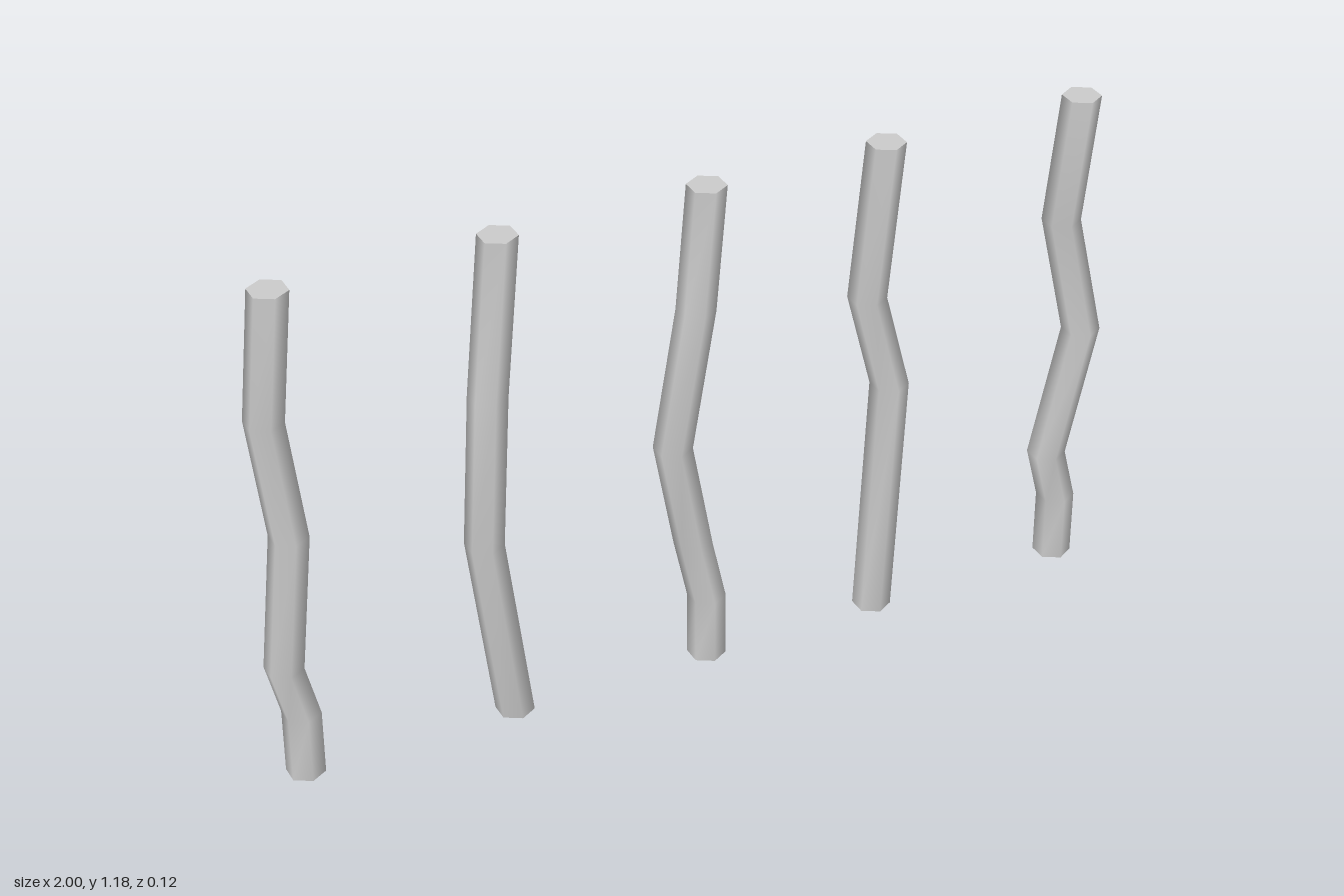
import * as THREE from 'three';
import { mergeVertices } from 'three/addons/utils/BufferGeometryUtils.js';

const RADIUS = 0.043;
const TOP = 1.18;
const Z = -0.012;

// Centre line of each crooked post from top to bottom: [x, y, z]
const POSTS = {
  outerRightPost: [[-0.933, TOP, Z], [-0.963, 0.885, Z], [-0.93, 0.6, Z], [-0.963, 0.28, Z], [-0.933, 0.155, Z], [-0.933, 0, Z]],
  innerRightPost: [[-0.447, TOP, Z], [-0.482, 0.81, Z], [-0.516, 0.475, 0.02], [-0.447, 0, Z]],
  middlePost: [[0.02, TOP, Z], [-0.005, 0.89, Z], [-0.058, 0.56, -0.017], [-0.011, 0.3, -0.015], [0.02, 0.155, Z], [0.02, 0, Z]],
  innerLeftPost: [[0.441, TOP, Z], [0.409, 0.81, -0.017], [0.46, 0.59, 0.002], [0.441, 0, Z]],
  outerLeftPost: [[0.922, TOP, Z], [0.89, 0.885, Z], [0.96, 0.59, Z], [0.89, 0.28, Z], [0.922, 0.155, Z], [0.922, 0, Z]],
};

// Six-sided cylinder whose level rings are shifted onto the centre line
function postGeometry(path) {
  const n = path.length - 1;
  const cylinder = new THREE.CylinderGeometry(RADIUS, RADIUS, 1, 6, n);
  cylinder.deleteAttribute('uv');
  // Join the side seam so the sides shade smoothly; the caps stay crisp
  const geometry = mergeVertices(cylinder);
  const pos = geometry.attributes.position;
  for (let i = 0; i < pos.count; i++) {
    const [x, y, z] = path[Math.round((0.5 - pos.getY(i)) * n)];
    pos.setXYZ(i, pos.getX(i) + x, y, pos.getZ(i) + z);
  }
  geometry.computeVertexNormals();
  return geometry;
}

export function createModel() {
  const group = new THREE.Group();
  group.name = 'crookedPosts';
  const material = new THREE.MeshStandardMaterial({ color: 0xcccccc });
  for (const [name, path] of Object.entries(POSTS)) {
    const post = new THREE.Mesh(postGeometry(path), material);
    post.name = name;
    group.add(post);
  }
  return group;
}
